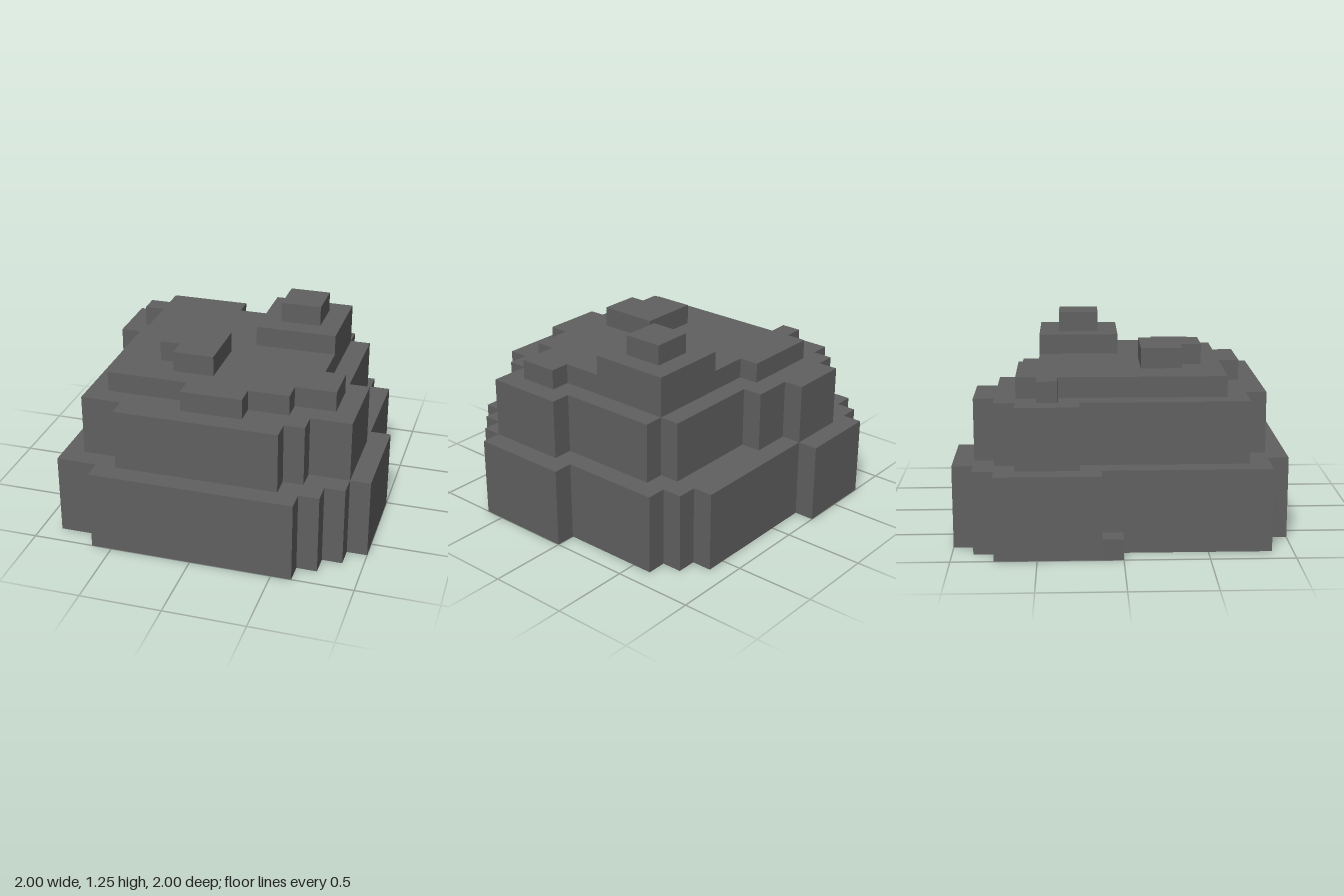
import * as THREE from 'three';

const U = 0.125; // size of one block

// Right-angled outline: steps list x, z, x, z... in turn, each changing one coordinate
function outline(steps) {
  const corners = steps.map((value, i) => {
    const next = steps[(i + 1) % steps.length];
    const [x, z] = i % 2 === 0 ? [value, next] : [next, value];
    return new THREE.Vector2(x * U, z * U);
  });
  return new THREE.Shape(corners);
}

export function createModel() {
  const group = new THREE.Group();
  group.name = 'steppedRock';
  const stone = new THREE.MeshStandardMaterial({ color: 0x606060 });
  stone.name = 'darkGreyStone';

  // Extrudes an outline between two heights, given in blocks
  function addTier(name, bottom, top, ...steps) {
    const depth = (top - bottom) * U;
    const geometry = new THREE.ExtrudeGeometry(outline(steps), { depth, bevelEnabled: false });
    geometry.rotateX(Math.PI / 2).translate(0, top * U, 0);
    const mesh = new THREE.Mesh(geometry, stone);
    mesh.name = name;
    group.add(mesh);
  }

  // Three stacked tiers, each stepping around clockwise from the back
  addTier('baseTier', 0, 4,
    -6, -8, -2, -7, 5, -6, 6, -5, 7, 0, 8, 5, 7, 6, 6, 7, 5, 8, -5, 7, -7, -1, -8, -6, -7, -7);
  addTier('middleTier', 4, 7,
    -5, -7, -2, -6, 0, -5, 5, -4, 6, 1, 7, 5, 5, 6, 4, 7, -4, 6, -6, -2, -7, -5, -6, -6);
  addTier('upperTier', 7, 8,
    -5, -5, -1, -4, 5, 2, 6, 4, 4, 5, 2, 6, -1, 5, -5, -3, -6, -4);

  // Low block at the right side
  addTier('lowStep', 0, 1, -8, -1, -7, 0);

  // Slabs and peak on the top
  addTier('notchedSlab', 8, 9, -3, 1, 0, 4, -2, 3);
  addTier('squareSlab', 8, 9, 1, -4, 5, 0);
  addTier('peakBlock', 9, 10, 2, -3, 4, -1);
  return group;
}
